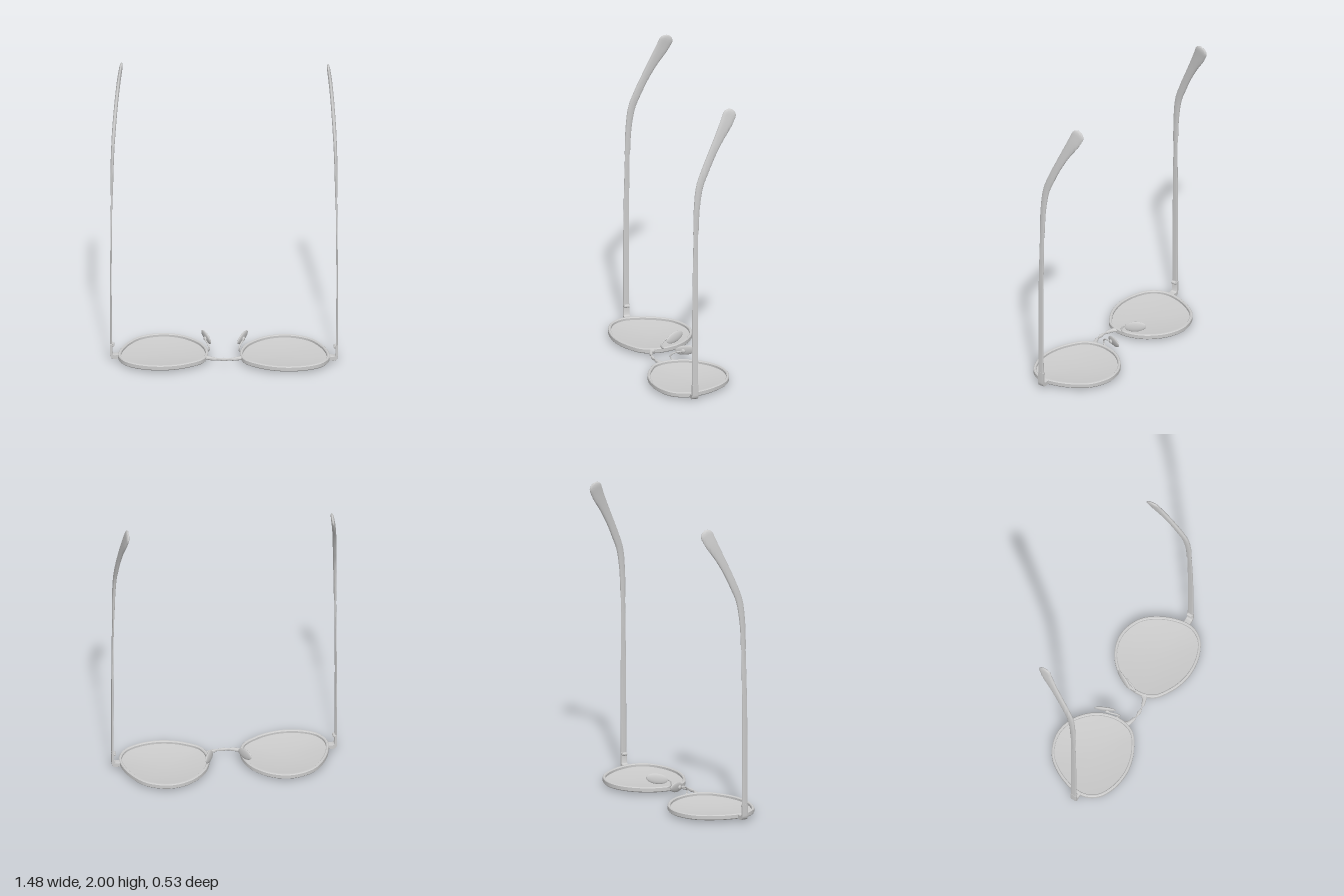
import * as THREE from 'three';
import { toCreasedNormals } from 'three/addons/utils/BufferGeometryUtils.js';

const V = (x, y, z) => new THREE.Vector3(x, y, z);
const material = new THREE.MeshStandardMaterial({ color: 0xcccccc, roughness: 0.6 });

function part(name, geometry, parent) {
  const mesh = new THREE.Mesh(geometry, material);
  mesh.name = name;
  parent.add(mesh);
  return mesh;
}

// Skins closed cross-section loops into a solid; faces are turned outward.
function skin(rings, loop = false, crease = 0.7) {
  const n = rings[0].length, m = rings.length;
  const pts = rings.flat(), index = [];
  for (let i = 0; i < (loop ? m : m - 1); i++) {
    for (let j = 0; j < n; j++) {
      const a = i * n + j, b = i * n + (j + 1) % n;
      const c = ((i + 1) % m) * n + j, d = ((i + 1) % m) * n + (j + 1) % n;
      index.push(a, b, d, a, d, c);
    }
  }
  let volume = 0;
  const cross = V(0, 0, 0);
  for (let i = 0; i < index.length; i += 3) {
    volume += cross.crossVectors(pts[index[i + 1]], pts[index[i + 2]]).dot(pts[index[i]]);
  }
  if (volume < 0) index.reverse();
  const g = new THREE.BufferGeometry().setFromPoints(pts);
  g.setIndex(index);
  return toCreasedNormals(g, crease);
}

// Sweeps a superellipse along stations [x, y, z, halfWidth, halfThickness].
function loft(stations, axis, { steps = 30, sides = 20, power = 1, roundEnd = 0 } = {}) {
  const path = new THREE.CatmullRomCurve3(stations.map(s => V(s[0], s[1], s[2])));
  const sizes = new THREE.CatmullRomCurve3(stations.map(s => V(s[3], s[4], 0)));
  const rings = [];
  const ring = (t, k, push) => {
    const T = path.getTangent(t), W = V(0, 0, 0).crossVectors(T, axis).normalize();
    const B = V(0, 0, 0).crossVectors(W, T);
    const c = path.getPoint(t).addScaledVector(T, push), size = sizes.getPoint(t);
    const soft = v => Math.sign(v) * Math.pow(Math.abs(v), power);
    rings.push(Array.from({ length: sides }, (_, j) => {
      const a = (j + 0.5) / sides * Math.PI * 2;
      return c.clone().addScaledVector(W, soft(Math.cos(a)) * size.x * k)
        .addScaledVector(B, soft(Math.sin(a)) * size.y * k);
    }));
  };
  ring(0, 0, 0);
  for (let i = 0; i <= steps; i++) ring(i / steps, 1, 0);
  for (let i = 1; i < 8 && roundEnd; i++) {
    const a = i / 8 * Math.PI / 2;
    ring(1, Math.cos(a), Math.sin(a) * roundEnd);
  }
  ring(1, 0, roundEnd);
  return skin(rings);
}

// Lens outline in x and z, offset outward by d.
const outline = new THREE.CatmullRomCurve3([
  [0.103, 0.035], [0.135, -0.1], [0.214, -0.198], [0.3, -0.25], [0.395, -0.268], [0.49, -0.248],
  [0.571, -0.198], [0.65, -0.08], [0.686, 0.05], [0.678, 0.125], [0.63, 0.198], [0.532, 0.248],
  [0.413, 0.265], [0.31, 0.249], [0.225, 0.213], [0.135, 0.145],
].map(([x, z]) => V(x, 0, z)), true);
const SEG = 96;
function outlineAt(i, d, y) {
  const t = i / SEG, T = outline.getTangent(t);
  return outline.getPoint(t).add(V(-T.z * d, y, T.x * d));
}
const outward = outlineAt(0, 0.01, 0).x < outlineAt(0, 0, 0).x ? 1 : -1;

function buildSide() {
  const side = new THREE.Group();

  // Rim: small bevelled section carried round the outline
  const section = [[0, 0.022], [0, 0.045], [-0.005, 0.05], [-0.013, 0.05], [-0.018, 0.045],
    [-0.018, 0.022], [-0.013, 0.016], [-0.005, 0.016]];
  part('rim', skin(Array.from({ length: SEG }, (_, i) =>
    section.map(([d, y]) => outlineAt(i, d * outward, y))), true, 0.6), side);

  // Lens: shallow dome, lowest at its centre
  const centre = V(0.395, 0, 0);
  const disc = (s, y) => Array.from({ length: SEG }, (_, i) => {
    const p = outlineAt(i, -0.01 * outward, 0).sub(centre).multiplyScalar(s).add(centre);
    return p.setY(y + 0.02 * s * s);
  });
  const radii = [0, 0.2, 0.4, 0.6, 0.8, 1];
  part('lens', skin([...radii.map(s => disc(s, 0)),
    ...radii.slice().reverse().map(s => disc(s, 0.012))]), side);

  // End piece: bracket from the rim, bending up to the hinge
  const bend = new THREE.Shape();
  bend.moveTo(0.672, 0.022);
  bend.lineTo(0.705, 0.016);
  bend.quadraticCurveTo(0.739, 0.014, 0.739, 0.05);
  bend.lineTo(0.739, 0.12);
  bend.lineTo(0.726, 0.12);
  bend.lineTo(0.726, 0.058);
  bend.quadraticCurveTo(0.724, 0.042, 0.705, 0.043);
  bend.lineTo(0.672, 0.046);
  const bracket = new THREE.ExtrudeGeometry(bend, { depth: 0.036, bevelEnabled: true,
    bevelSize: 0.001, bevelThickness: 0.003, bevelSegments: 2, curveSegments: 10 });
  part('endPiece', toCreasedNormals(bracket.translate(0, 0, 0.043), 0.6), side);

  // Hinge barrel and screw heads on the inside of the joint
  const barrel = part('hingeBarrel', new THREE.CylinderGeometry(0.011, 0.011, 0.03, 20), side);
  barrel.rotation.x = Math.PI / 2;
  barrel.position.set(0.722, 0.11, 0.061);
  for (const z of [0.045, 0.077]) {
    const screw = part('hingeScrew', new THREE.SphereGeometry(0.008, 14, 10), side);
    screw.position.set(0.722, 0.11, z);
    screw.scale.z = 0.5;
  }

  // Temple arm: thin flat bar
  part('templeArm', loft([
    [0.733, 0.121, 0.061, 0.02, 0.006], [0.734, 0.5, 0.061, 0.02, 0.005],
    [0.733, 0.85, 0.059, 0.018, 0.005], [0.729, 1.2, 0.054, 0.015, 0.005],
  ], V(1, 0, 0), { power: 0.45 }), side);

  // Temple tip: sleeve that widens and curves to a rounded end
  part('templeTip', loft([
    [0.729, 1.17, 0.054, 0.018, 0.008], [0.727, 1.35, 0.047, 0.02, 0.01],
    [0.722, 1.5, 0.026, 0.024, 0.011], [0.716, 1.6, -0.012, 0.026, 0.012],
    [0.708, 1.7, -0.057, 0.027, 0.012], [0.698, 1.8, -0.108, 0.032, 0.012],
    [0.685, 1.9, -0.164, 0.043, 0.012], [0.676, 1.955, -0.19, 0.046, 0.011],
  ], V(1, 0, 0), { steps: 40, power: 0.8, roundEnd: 0.044 }), side);

  // Nose pad: flattened ellipsoid, its face turned toward the nose
  const pad = part('nosePad', new THREE.SphereGeometry(1, 32, 20), side);
  const along = V(0.06, 0.022, -0.12).normalize();
  const face = V(0.12, -0.02, 0.06);
  face.addScaledVector(along, -face.dot(along)).normalize();
  const up = V(0, 0, 0).crossVectors(along, face);
  pad.quaternion.setFromRotationMatrix(new THREE.Matrix4().makeBasis(along, face, up));
  pad.scale.set(0.072, 0.011, 0.034);
  pad.position.set(0.118, 0.11, -0.072);

  // Pad mount and curved wire
  const mount = part('padMount', new THREE.SphereGeometry(0.015, 18, 12), side);
  mount.quaternion.copy(pad.quaternion);
  mount.scale.y = 0.6;
  mount.position.set(0.125, 0.107, -0.052);
  const wire = new THREE.CatmullRomCurve3([V(0.112, 0.042, 0.0), V(0.1, 0.052, 0.018),
    V(0.097, 0.073, 0.025), V(0.106, 0.094, 0.008), V(0.122, 0.106, -0.03), V(0.126, 0.107, -0.05)]);
  part('padWire', new THREE.TubeGeometry(wire, 32, 0.005, 10), side);
  return side;
}

export function createModel() {
  const model = new THREE.Group();
  model.name = 'eyeglasses';
  for (const s of [1, -1]) {
    const side = buildSide();
    side.name = s > 0 ? 'leftSide' : 'rightSide';
    side.scale.x = s;
    model.add(side);
  }

  // Bridge: bowed bar, flared where it meets the rims
  const half = [[0.115, 0.034, 0.084, 0.022, 0.012], [0.095, 0.034, 0.096, 0.014, 0.012],
    [0.055, 0.034, 0.109, 0.011, 0.011]];
  const mirrored = half.slice().reverse().map(([x, ...rest]) => [-x, ...rest]);
  part('bridge', loft([...half, [0, 0.034, 0.115, 0.011, 0.011], ...mirrored], V(0, 1, 0),
    { steps: 36 }), model);
  return model;
}
